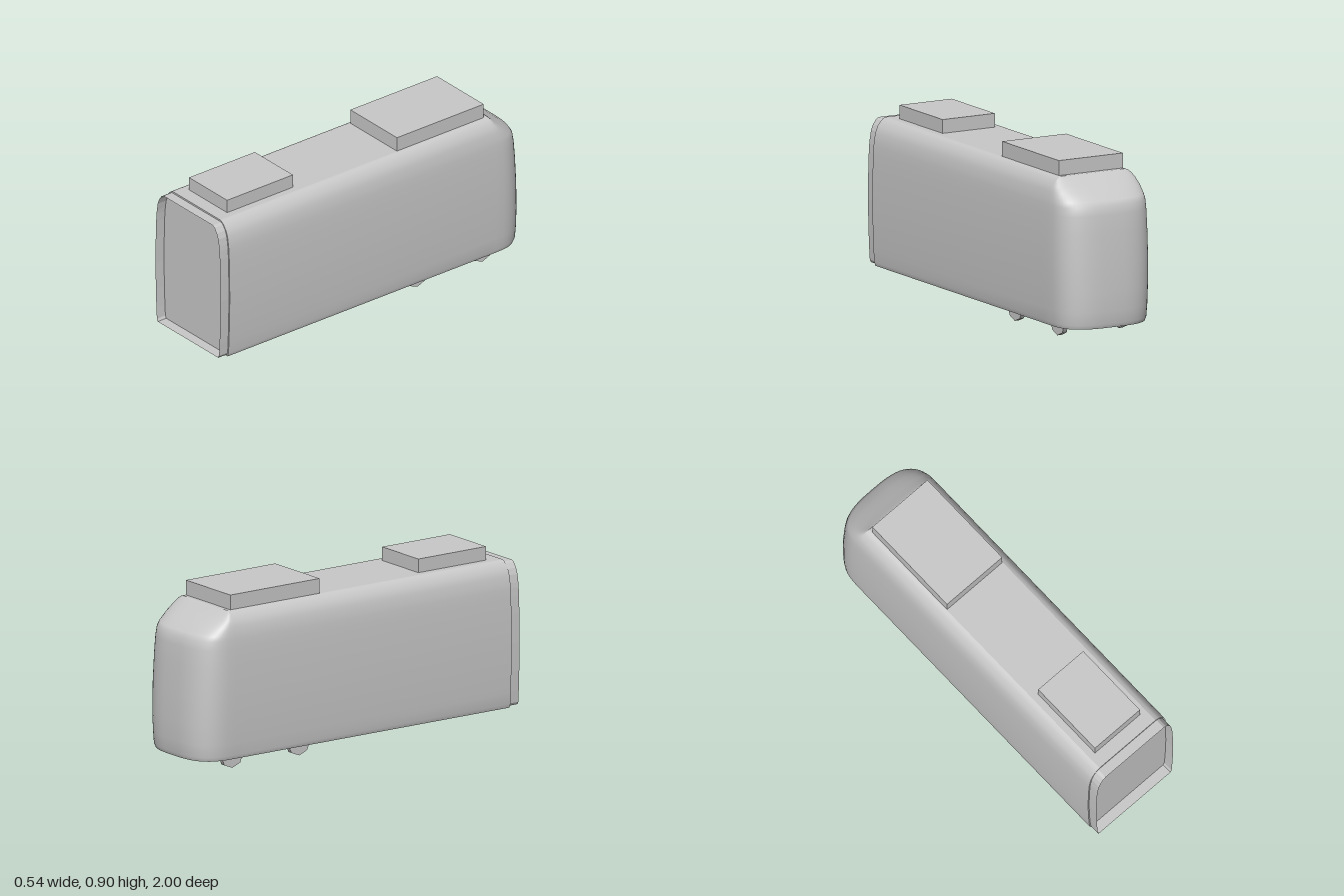
import * as THREE from 'three';

// Body levels: height, half width, rearmost z at the centre line
const LEVELS = [
  [0.064, 0.25, -0.985], [0.085, 0.257, -0.993], [0.15, 0.261, -0.998], [0.25, 0.265, -0.999],
  [0.4, 0.268, -0.994], [0.55, 0.266, -0.985], [0.64, 0.263, -0.977], [0.685, 0.26, -0.968],
  [0.71, 0.257, -0.95], [0.75, 0.25, -0.895], [0.78, 0.238, -0.848], [0.805, 0.22, -0.81],
  [0.817, 0.205, -0.793], [0.823, 0.19, -0.782],
];
const FRONT = 0.945, SHOULDER = -0.78, NOSE_STEPS = 28;

// Plan outline of one level: left side, rounded nose, right side
function outline([y, w, back]) {
  const nose = [];
  for (let i = 0; i <= NOSE_STEPS; i++) {
    const a = (i / NOSE_STEPS) * Math.PI, c = Math.cos(a), s = Math.max(0, Math.sin(a));
    nose.push([w * Math.sign(c) * Math.abs(c) ** (2 / 3), y, SHOULDER + (back - SHOULDER) * s ** (2 / 3)]);
  }
  return [[w, y, FRONT], [w, y, -0.72], ...nose, [-w, y, -0.72], [-w, y, FRONT]];
}

function geometry(points, index) {
  const g = new THREE.BufferGeometry();
  g.setAttribute('position', new THREE.Float32BufferAttribute(points.flat(), 3));
  g.setIndex(index);
  g.computeVertexNormals();
  return g;
}

// Skin through rows of equal length
function skin(rows) {
  const n = rows[0].length, index = [];
  for (let j = 0; j < rows.length - 1; j++) {
    for (let i = 0; i < n - 1; i++) {
      const a = j * n + i, b = a + 1, c = a + n, d = c + 1;
      index.push(a, b, d, a, d, c);
    }
  }
  return geometry(rows.flat(), index);
}

// Flat cap over one row
function cap(row, up) {
  const index = [], n = row.length;
  for (let i = 1; i <= n; i++) {
    const next = i === n ? 1 : i + 1;
    index.push(0, up ? i : next, up ? next : i);
  }
  return geometry([[0, row[0][1], 0], ...row], index);
}

export function createModel() {
  const model = new THREE.Group();
  const grey = new THREE.MeshStandardMaterial({ color: 0xc8c8c8 });
  grey.name = 'bodyGrey';
  const greyOpen = grey.clone();
  greyOpen.side = THREE.DoubleSide;

  const add = (name, geo, material = grey) => {
    const mesh = new THREE.Mesh(geo, material);
    mesh.name = name;
    model.add(mesh);
    return mesh;
  };

  // Carriage body
  const rows = LEVELS.map(outline);
  add('bodySides', skin(rows));
  add('roof', cap(rows[rows.length - 1], true));
  add('floor', cap(rows[0], false));
  add('endWall', skin(LEVELS.map(([y, w]) => [[-w, y, FRONT], [w, y, FRONT]])));

  // Open collar round the coupling end
  const half = LEVELS.map(([y, w]) => [w - 0.007, THREE.MathUtils.clamp(y, 0.072, 0.814)]);
  const loop = [...half, ...half.map(([x, y]) => [-x, y]).reverse()];
  loop.push(loop[0]);
  const collar = skin([0.94, 1].map((z) => loop.map(([x, y]) => [x, y, z]))).toNonIndexed();
  collar.computeVertexNormals();
  add('endCollar', collar, greyOpen);

  // Roof equipment boxes
  const roofBox = (name, width, height, z0, z1) => {
    const box = add(name, new THREE.BoxGeometry(width, height, z1 - z0));
    box.position.set(0, 0.82 + height / 2, (z0 + z1) / 2);
  };
  roofBox('rearRoofUnit', 0.375, 0.08, -0.76, -0.2);
  roofBox('frontRoofUnit', 0.306, 0.074, 0.445, 0.87);

  // Wheels
  const wheel = new THREE.CylinderGeometry(0.07, 0.07, 0.025, 8).rotateZ(Math.PI / 2);
  for (const x of [-0.178, 0.178]) {
    for (const z of [-0.33, -0.75]) add('wheel', wheel).position.set(x, 0.07, z);
  }
  return model;
}
